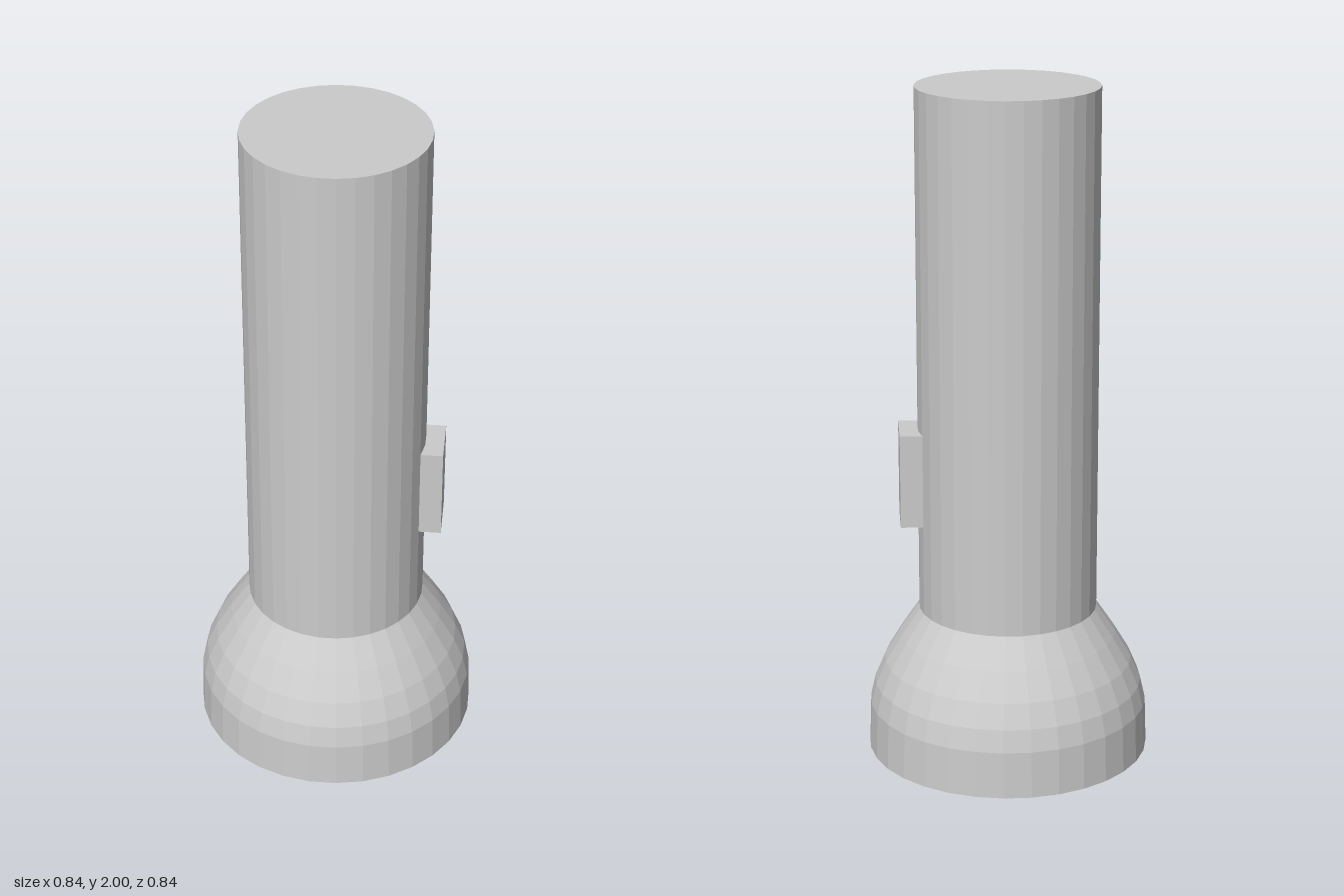
import * as THREE from 'three';

const SIDES = 32;

export function createModel() {
  const group = new THREE.Group();
  const solid = new THREE.MeshStandardMaterial({ color: 0xcccccc, flatShading: true });
  const shell = new THREE.MeshStandardMaterial({ color: 0xcccccc, flatShading: true, side: THREE.DoubleSide });

  const add = (name, geometry, material) => {
    const mesh = new THREE.Mesh(geometry, material);
    mesh.name = name;
    group.add(mesh);
    return mesh;
  };

  // Straight handle tube, closed at both ends
  const handle = add('handle', new THREE.CylinderGeometry(0.265, 0.265, 1.56, SIDES), solid);
  handle.position.y = 1.22;

  // Hollow bell-shaped head, open at the bottom
  const profile = [
    [0.42, 0], [0.415, 0.14], [0.4, 0.205], [0.37, 0.275], [0.322, 0.355], [0.265, 0.44],
  ].map(([r, y]) => new THREE.Vector2(r, y));
  add('head', new THREE.LatheGeometry(profile, SIDES), shell);

  // Switch block sunk into the side of the handle, turned slightly to the front
  const turn = 0.095;
  const button = add('switch', new THREE.BoxGeometry(0.08, 0.28, 0.155), solid);
  button.position.set(0.279 * Math.cos(turn), 0.855, 0.279 * Math.sin(turn));
  button.rotation.y = -turn;

  return group;
}
